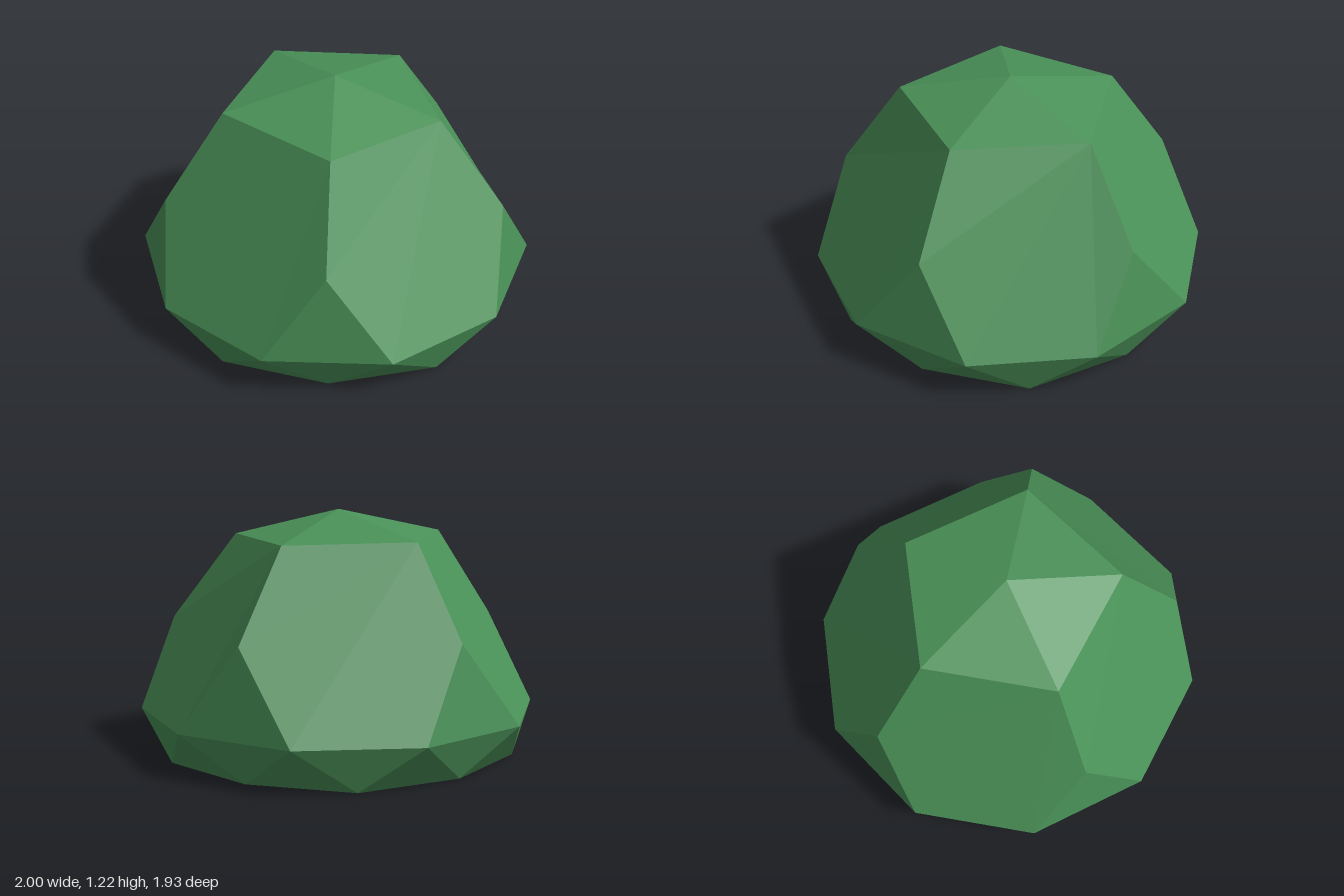
import * as THREE from 'three';

const COUNT = 5;
const START = THREE.MathUtils.degToRad(3);

// Point on a ring; the angle runs from +z towards +x
const polar = (radius, y, steps) => {
  const a = START + steps * Math.PI / 5;
  return new THREE.Vector3(radius * Math.sin(a), y, radius * Math.cos(a));
};

const facet = (list, ...corners) => {
  // Fan a convex polygon from its first corner
  for (let i = 1; i < corners.length - 1; i++) list.push(corners[0], corners[i], corners[i + 1]);
};

function facetMesh(name, points, material) {
  const geometry = new THREE.BufferGeometry().setFromPoints(points);
  geometry.computeVertexNormals();
  const mesh = new THREE.Mesh(geometry, material);
  mesh.name = name;
  return mesh;
}

export function createModel() {
  const group = new THREE.Group();
  group.name = 'facetedDome';
  const green = new THREE.MeshStandardMaterial({ color: 0x4a9158, side: THREE.DoubleSide, flatShading: true });
  green.name = 'leaf green';

  // Corner rings, slightly uneven near the top
  const apex = new THREE.Vector3(0, 1.215, 0);
  const crown = [[0.03, 1.09, 0.56], [0.52, 1.08, 0.15], [0.29, 1.08, -0.465], [-0.355, 1.09, -0.435], [-0.525, 1.09, 0.195]]
    .map((p) => new THREE.Vector3(...p));
  const shoulder = [[0.04, 0.87], [0.845, 0.21], [0.49, -0.725], [-0.54, -0.685], [-0.81, 0.315]]
    .map(([x, z]) => new THREE.Vector3(x, 0.645, z));
  const waist = [], foot = [];
  for (let k = 0; k < COUNT * 2; k++) {
    waist.push(polar(1, 0.218, k - 0.5));
    foot.push(polar(k % 2 ? 0.89 : 0.857, 0, k));
  }

  const cap = [], panels = [], gussets = [], skirt = [];
  for (let i = 0; i < COUNT; i++) {
    const j = (i + 1) % COUNT;
    const a = waist[2 * i], b = waist[2 * i + 1], c = waist[2 * j];
    facet(cap, apex, crown[i], crown[j]);
    facet(panels, crown[j], crown[i], shoulder[i], b, c, shoulder[j]);
    facet(gussets, shoulder[i], a, b);
  }
  // Zigzag skirt tapering in to the open base
  for (let k = 0; k < COUNT * 2; k++) {
    const n = (k + 1) % (COUNT * 2);
    facet(skirt, waist[k], foot[k], waist[n]);
    facet(skirt, waist[n], foot[k], foot[n]);
  }

  group.add(
    facetMesh('topCap', cap, green),
    facetMesh('sidePanels', panels, green),
    facetMesh('sideTriangles', gussets, green),
    facetMesh('baseSkirt', skirt, green),
  );
  return group;
}
